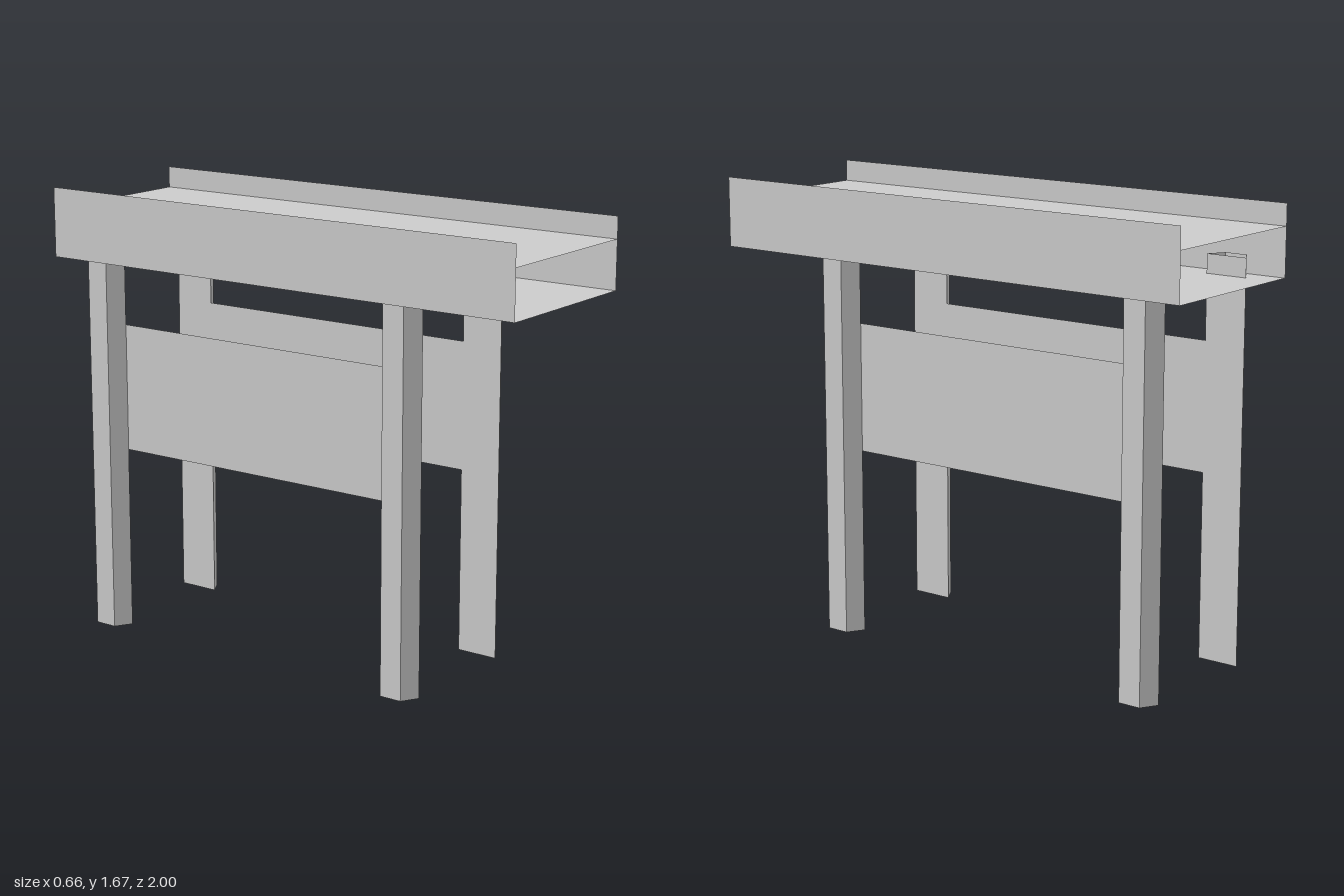
import * as THREE from 'three';

const material = new THREE.MeshStandardMaterial({ color: 0xcccccc, flatShading: true, side: THREE.DoubleSide });

// Thin upright walls following a path of [x, z] points
function walls(name, path, y0, y1) {
  const pos = [];
  for (let i = 0; i < path.length - 1; i++) {
    const [ax, az] = path[i];
    const [bx, bz] = path[i + 1];
    pos.push(ax, y0, az, bx, y0, bz, bx, y1, bz);
    pos.push(ax, y0, az, bx, y1, bz, ax, y1, az);
  }
  const geometry = new THREE.BufferGeometry();
  geometry.setAttribute('position', new THREE.Float32BufferAttribute(pos, 3));
  geometry.computeVertexNormals();
  const mesh = new THREE.Mesh(geometry, material);
  mesh.name = name;
  return mesh;
}

// Thin horizontal sheet; facing is 1 for up, -1 for down
function sheet(name, y, facing) {
  const geometry = new THREE.PlaneGeometry(0.66, 2).rotateX(-facing * Math.PI / 2);
  const mesh = new THREE.Mesh(geometry, material);
  mesh.name = name;
  mesh.position.y = y;
  return mesh;
}

export function createModel() {
  const model = new THREE.Group();
  model.name = 'table';

  // Table top: deck, underside and two side boards, open at both ends
  model.add(sheet('deck', 1.59, 1), sheet('underside', 1.41, -1));

  const inner = 0.25, outer = 0.312;
  const legCentres = { front: 0.511, back: -0.812 };

  for (const [side, s] of [['left', 1], ['right', -1]]) {
    model.add(walls(`${side}SideBoard`, [[s * 0.33, s], [s * 0.33, -s]], 1.41, 1.67));

    // Hollow legs, bevelled towards the outside
    for (const [end, z] of Object.entries(legCentres)) {
      const section = [[inner, 0.08], [outer, 0.043], [outer, -0.043], [inner, -0.08], [inner, 0.08]];
      const path = section.map(([x, dz]) => [s * x, z + s * dz]);
      model.add(walls(`${end}${side === 'left' ? 'Left' : 'Right'}Leg`, path, 0, 1.48));
    }

    // Panel between the legs, flush with their inner faces
    const ends = [[s * inner, 0.431], [s * inner, -0.732]];
    model.add(walls(`${side}Panel`, s > 0 ? ends : ends.reverse(), 0.693, 1.172));
  }
  return model;
}
